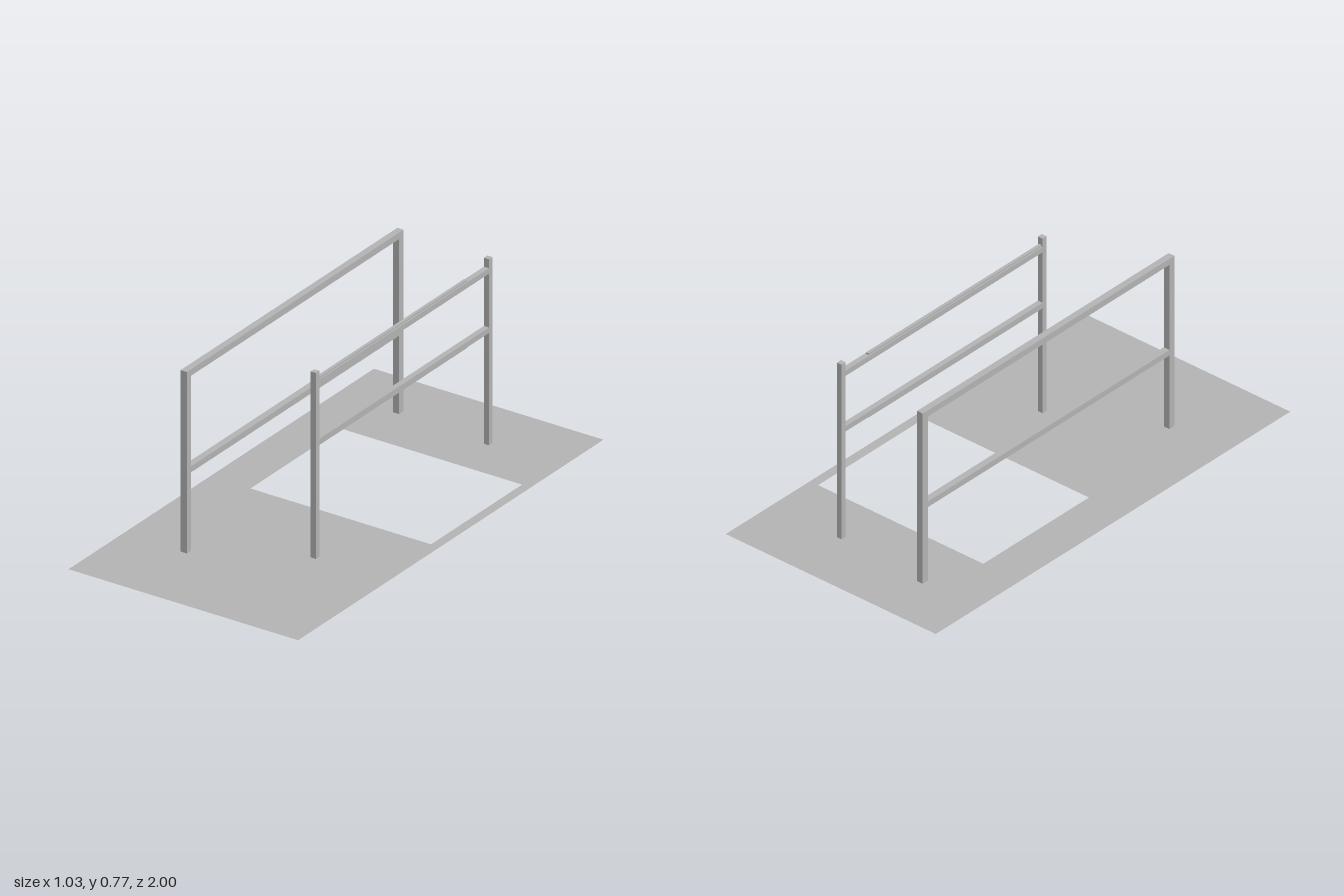
import * as THREE from 'three';

export function createModel() {
  const model = new THREE.Group();
  const grey = new THREE.MeshStandardMaterial({ color: 0xb2b2b2, side: THREE.DoubleSide });
  grey.name = 'grey';

  // Box given by its minimum and maximum on each axis
  function bar(parent, name, [x0, x1], [y0, y1], [z0, z1]) {
    const mesh = new THREE.Mesh(new THREE.BoxGeometry(x1 - x0, y1 - y0, z1 - z0), grey);
    mesh.position.set((x0 + x1) / 2, (y0 + y1) / 2, (z0 + z1) / 2);
    mesh.name = name;
    parent.add(mesh);
  }

  // Flat floor with a rectangular opening (shape y becomes -z)
  const rect = (T, x0, x1, z0, z1) => new T([[x0, z0], [x1, z0], [x1, z1], [x0, z1]]
    .map(([x, z]) => new THREE.Vector2(x, -z)));
  const shape = rect(THREE.Shape, -0.516, 0.516, -1, 1);
  shape.holes.push(rect(THREE.Path, -0.336, 0.476, -0.525, 0.071));
  const floor = new THREE.Mesh(new THREE.ShapeGeometry(shape).rotateX(-Math.PI / 2), grey);
  floor.name = 'floor';
  model.add(floor);

  // Long railing: two posts under a top rail, with a middle rail
  const long = new THREE.Group();
  long.name = 'longRailing';
  const lx = [-0.256, -0.228];
  bar(long, 'frontPost', lx, [0, 0.726], [0.617, 0.645]);
  bar(long, 'backPost', lx, [0, 0.726], [-0.775, -0.745]);
  bar(long, 'topRail', lx, [0.726, 0.753], [-0.775, 0.645]);
  bar(long, 'middleRail', lx, [0.325, 0.35], [-0.745, 0.617]);
  model.add(long);

  // Short railing: taller posts with two rails between them
  const short = new THREE.Group();
  short.name = 'shortRailing';
  const sx = [0.169, 0.192];
  bar(short, 'frontPost', sx, [0, 0.772], [0.389, 0.412]);
  bar(short, 'backPost', sx, [0, 0.772], [-0.745, -0.722]);
  for (const [y0, y1] of [[0.712, 0.735], [0.466, 0.489]]) {
    bar(short, 'rail', sx, [y0, y1], [-0.722, 0.389]);
  }
  // Thin strips along the rails
  for (const [y0, y1] of [[0.735, 0.742], [0.459, 0.466]]) {
    bar(short, 'railStrip', [0.174, 0.187], [y0, y1], [-0.586, 0.389]);
  }
  model.add(short);

  return model;
}
